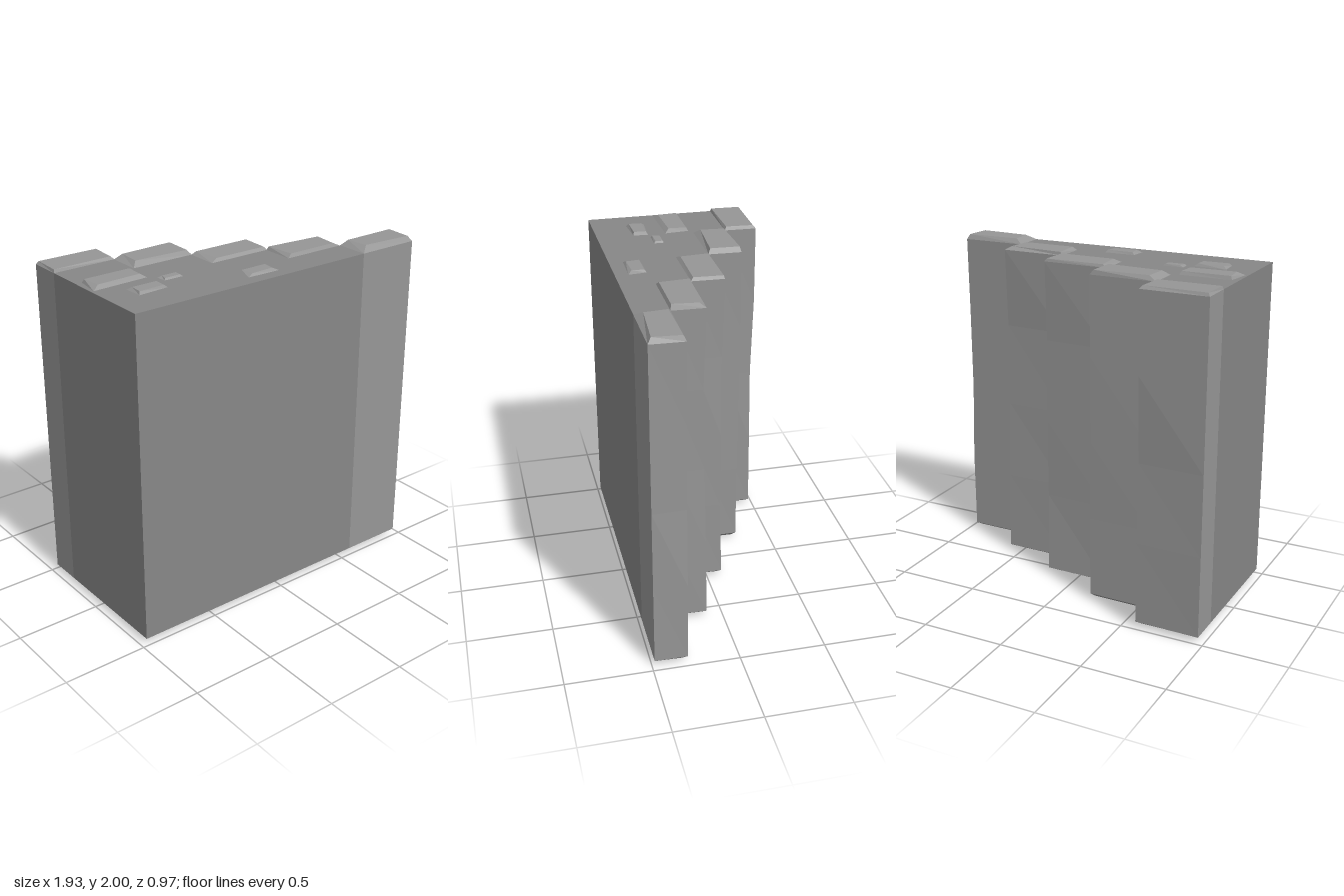
import * as THREE from 'three';

const makeMaterial = (color) => new THREE.MeshStandardMaterial({ color, flatShading: true });
const coreMaterial = makeMaterial(0x878787);
const stoneMaterial = makeMaterial(0x969696);
const BOTTOM = 0.035, TOP = 1.97;

// Closed solid through four-cornered rings, listed from bottom to top.
// Corner order: back -x, back +x, front +x, front -x.
function loft(rings) {
  const pos = [];
  const quad = (a, b, c, d) => pos.push(...a, ...b, ...c, ...a, ...c, ...d);
  for (let i = 0; i < rings.length - 1; i++) {
    const a = rings[i], b = rings[i + 1];
    for (let k = 0; k < 4; k++) {
      const n = (k + 1) % 4;
      quad(a[k], b[k], b[n], a[n]);
    }
  }
  const low = rings[0], high = rings[rings.length - 1];
  quad(low[0], low[1], low[2], low[3]);
  quad(high[3], high[2], high[1], high[0]);
  const g = new THREE.BufferGeometry();
  g.setAttribute('position', new THREE.Float32BufferAttribute(pos, 3));
  g.computeVertexNormals();
  return g;
}

// Ring at height y from a flat list x,z,x,z,x,z,x,z
const ring = (y, c) => [0, 2, 4, 6].map((i) => [c[i], y, c[i + 1]]);

export function createModel() {
  const group = new THREE.Group();
  const add = (name, geometry, material) => {
    const mesh = new THREE.Mesh(geometry, material);
    mesh.name = name;
    group.add(mesh);
  };

  // Stepped core standing on its side
  const outline = [
    [-0.968, -0.293], [-0.585, -0.293], [-0.585, -0.097], [-0.198, -0.097], [-0.198, 0.095],
    [0.188, 0.095], [0.188, 0.289], [0.576, 0.289], [0.576, 0.485], [-0.968, 0.485],
  ].map(([x, z]) => new THREE.Vector2(x, -z));
  const core = new THREE.ExtrudeGeometry(new THREE.Shape(outline), { depth: TOP - BOTTOM, bevelEnabled: false });
  core.rotateX(-Math.PI / 2).translate(0, BOTTOM, 0);
  add('core', core, coreMaterial);

  // Step slabs: worn outer edge (inward x and z offsets per level) and bevelled end caps
  const levels = [BOTTOM, 0.52, 1, 1.5, TOP];
  const steps = [
    { x: [-0.968, -0.576], z: [-0.485, -0.293], top: 1.988, low: 0.018,
      cap: [-0.955, -0.475, -0.59, -0.47, -0.6, -0.305, -0.962, -0.3],
      dx: [0.004, 0, 0.006, 0.004, 0], dz: [0.01, 0.014, 0.016, 0, 0] },
    { x: [-0.585, -0.19], z: [-0.293, -0.097], top: 1.998, low: 0.012,
      cap: [-0.54, -0.275, -0.212, -0.287, -0.218, -0.112, -0.55, -0.132],
      dx: [0.006, 0.003, 0.006, 0.005, 0], dz: [0.009, 0.008, 0.004, 0, 0] },
    { x: [-0.198, 0.2], z: [-0.097, 0.095], top: 1.987, low: 0.018,
      cap: [-0.17, -0.088, 0.188, -0.09, 0.18, 0.08, -0.155, 0.078],
      dx: [0.006, 0.004, 0, 0.006, 0], dz: [0.006, 0.02, 0.018, 0.015, 0.002] },
    { x: [0.188, 0.578], z: [0.095, 0.289], top: 1.99, low: 0.015,
      cap: [0.2, 0.102, 0.545, 0.13, 0.53, 0.278, 0.215, 0.278],
      dx: [0, 0.003, 0.01, 0.005, 0], dz: [0, 0.005, 0.012, 0.02, 0.004] },
    { x: [0.576, 0.967], z: [0.289, 0.485], top: 2, low: 0.015,
      cap: [0.617, 0.31, 0.952, 0.305, 0.94, 0.465, 0.63, 0.443],
      dx: [0.006, 0, 0.012, 0.008, 0], dz: [0.004, 0.005, 0.004, 0.003, 0.002] },
  ];
  steps.forEach(({ x: [x0, x1], z: [z0, z1], top, low, cap, dx, dz }, i) => {
    const rings = levels.map((y, k) =>
      ring(y, [x0, z0, x1 - dx[k], z0 + dz[k], x1 - 0.006, z1, x0, z1]));
    const lowCap = [x0 + 0.025, z0 + 0.03, x1 - 0.025, z0 + 0.035, x1 - 0.03, z1 - 0.03, x0 + 0.03, z1 - 0.025];
    add('step' + (i + 1), loft([ring(low, lowCap), ...rings, ring(top, cap)]), stoneMaterial);
  });

  // Small raised stones on both ends: base corners, cap corners, outer height
  const stones = [
    [[-0.93, -0.072, -0.625, -0.075, -0.61, 0.07, -0.952, 0.082],
      [-0.92, -0.062, -0.635, -0.063, -0.642, 0.045, -0.91, 0.055], 1.99],
    [[-0.807, 0.165, -0.61, 0.176, -0.615, 0.265, -0.8, 0.278],
      [-0.785, 0.186, -0.632, 0.186, -0.635, 0.258, -0.79, 0.264], 1.986],
    [[-0.575, 0.11, -0.45, 0.112, -0.45, 0.172, -0.57, 0.17],
      [-0.55, 0.118, -0.46, 0.118, -0.462, 0.16, -0.56, 0.162], 1.98],
    [[-0.18, 0.305, 0.008, 0.303, 0.02, 0.41, -0.19, 0.405],
      [-0.165, 0.315, -0.004, 0.315, -0.014, 0.386, -0.155, 0.393], 1.984],
    [[-0.47, 0.1, -0.25, 0.1, -0.25, 0.195, -0.47, 0.195],
      [-0.45, 0.115, -0.27, 0.115, -0.27, 0.18, -0.45, 0.18], 0.018],
    [[-0.73, 0.105, -0.6, 0.105, -0.6, 0.175, -0.73, 0.175],
      [-0.715, 0.117, -0.615, 0.117, -0.615, 0.163, -0.715, 0.163], 0.02],
    [[-0.93, -0.1, -0.59, -0.1, -0.59, 0.085, -0.93, 0.085],
      [-0.9, -0.075, -0.62, -0.075, -0.62, 0.068, -0.9, 0.068], 0],
  ];
  stones.forEach(([base, cap, y], i) => {
    const rings = y > 1 ? [ring(TOP - 0.001, base), ring(y, cap)] : [ring(y, cap), ring(BOTTOM + 0.001, base)];
    add('stone' + (i + 1), loft(rings), stoneMaterial);
  });

  return group;
}
